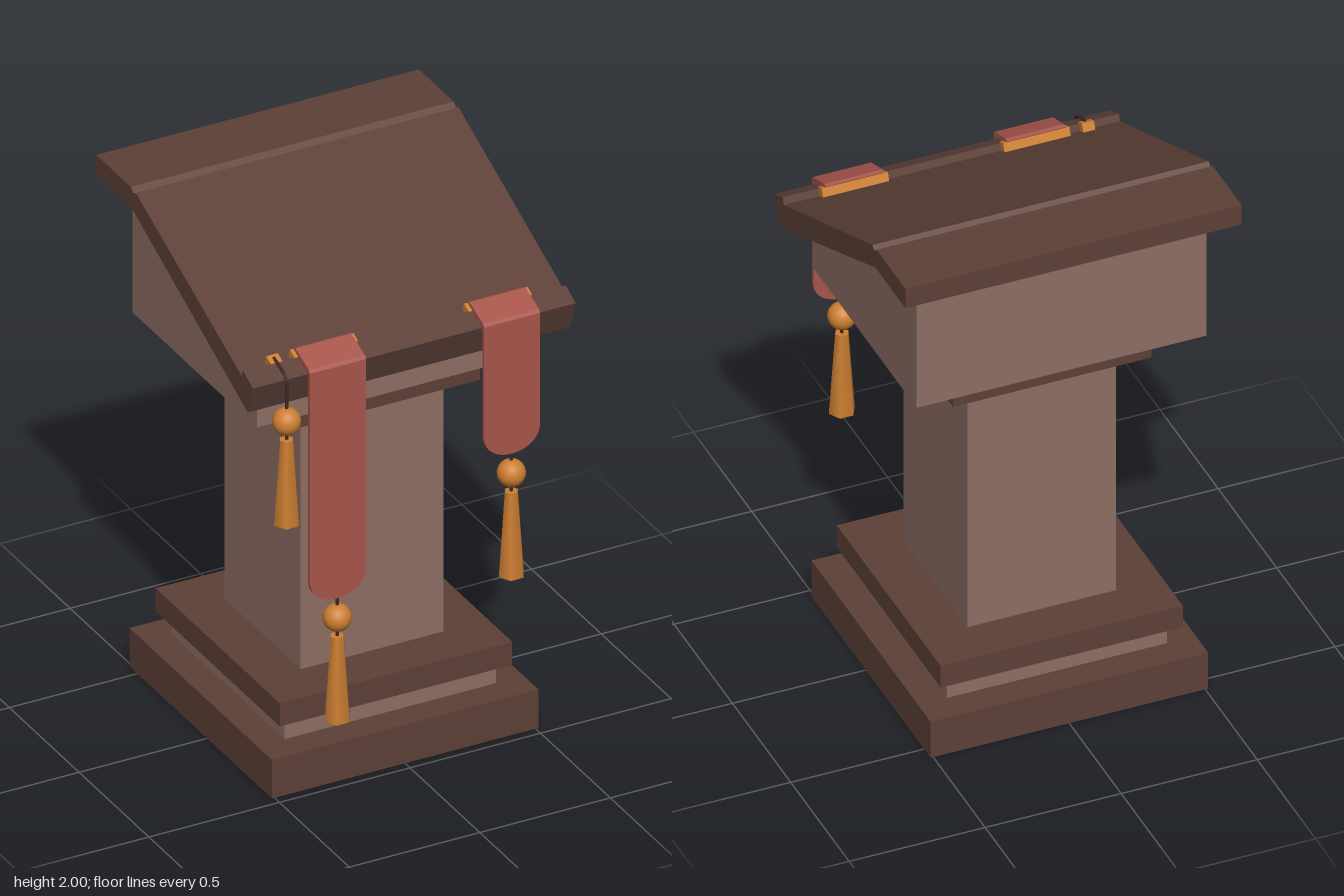
import * as THREE from 'three';

const paint = (color, extra = {}) => new THREE.MeshStandardMaterial({ color, ...extra });
const SLOPE = 0.412;   // tilt of the reading board
const HANG_Z = 0.545;  // plane in which ribbons and tassels hang

export function createModel() {
  const lightWood = paint(0x8d6e63), darkWood = paint(0x5d4037);
  const cloth = paint(0xa8554b), gold = paint(0xcd7f32), cord = paint(0x3e2723);
  const model = new THREE.Group();
  model.name = 'lectern';

  const add = (parent, name, geometry, material, x = 0, y = 0, z = 0) => {
    const mesh = new THREE.Mesh(geometry, material);
    mesh.name = name;
    mesh.position.set(x, y, z);
    parent.add(mesh);
    return mesh;
  };

  // Extrudes a side profile of [z, y] points across the width, centred on x = 0
  const acrossWidth = (points, width) => {
    const shape = new THREE.Shape(points.map(([z, y]) => new THREE.Vector2(z, y)));
    return new THREE.ExtrudeGeometry(shape, { depth: width, bevelEnabled: false })
      .translate(0, 0, -width / 2).rotateY(-Math.PI / 2);
  };

  // Square stacked pedestal: name, width, bottom, top, material
  const tiers = [
    ['basePlinth', 1.02, 0, 0.15, darkWood],
    ['baseStep', 0.81, 0.15, 0.23, lightWood],
    ['baseMoulding', 0.89, 0.23, 0.32, darkWood],
    ['column', 0.546, 0.32, 1.32, lightWood],
    ['capital', 0.73, 1.32, 1.416, darkWood],
  ];
  for (const [name, w, y0, y1, material] of tiers) {
    add(model, name, new THREE.BoxGeometry(w, y1 - y0, w), material, 0, (y0 + y1) / 2, -0.045);
  }

  // Wedge-shaped desk body
  add(model, 'deskBody', acrossWidth(
    [[0.4, 1.416], [0.4, 1.588], [-0.34, 1.918], [-0.49, 1.922], [-0.49, 1.416]], 1.066), lightWood);

  // Flat rear shelf, sloping board and raised front lip
  add(model, 'readingBoard', acrossWidth([
    [-0.592, 1.92], [-0.592, 2], [-0.344, 2], [-0.324, 1.984], [-0.308, 1.996],
    [0.45, 1.665], [0.46, 1.69], [0.532, 1.657], [0.494, 1.545], [-0.335, 1.92],
  ], 1.236), darkWood);

  // Gold clip lying on the board behind the lip
  const addClip = (parent, x, width) => {
    const clip = add(parent, 'clip', new THREE.BoxGeometry(width, 0.055, 0.036), gold, x, 1.674, 0.44);
    clip.rotation.x = SLOPE;
  };

  // Cord, bead and flared six-sided skirt; y is the bead centre
  const addTassel = (parent, x, y, z, cordTop) => {
    const bottom = y - 0.08;
    add(parent, 'tasselCord', new THREE.CylinderGeometry(0.006, 0.006, cordTop - bottom, 8),
      cord, x, (cordTop + bottom) / 2, z);
    add(parent, 'tasselBead', new THREE.SphereGeometry(0.05, 20, 14), gold, x, y, z);
    add(parent, 'tasselSkirt', new THREE.CylinderGeometry(0.025, 0.048, 0.325, 6).rotateY(Math.PI / 2),
      gold, x, y - 0.2325, z);
  };

  // Ribbon folded over the lip, with a round end and a tassel
  const addRibbon = (name, x, bottom) => {
    const group = new THREE.Group();
    group.name = name;
    model.add(group);
    const r = 0.1075, top = 1.65;
    const shape = new THREE.Shape();
    shape.moveTo(-r, top);
    shape.lineTo(-r, bottom + 0.09);
    shape.bezierCurveTo(-r, bottom + 0.035, -0.06, bottom, 0, bottom);
    shape.bezierCurveTo(0.06, bottom, r, bottom + 0.035, r, bottom + 0.09);
    shape.lineTo(r, top);
    add(group, 'ribbonDrop', new THREE.ExtrudeGeometry(shape, { depth: 0.013, bevelEnabled: false }),
      cloth, x, 0, HANG_Z - 0.007);
    add(group, 'ribbonFold', acrossWidth([
      [0.551, 1.65], [0.551, 1.668], [0.543, 1.679], [0.446, 1.714], [0.434, 1.71],
      [0.437, 1.698], [0.532, 1.662], [0.538, 1.65],
    ], 2 * r), cloth, x);
    addClip(group, x, 0.243);
    addTassel(group, x, bottom - 0.077, HANG_Z, bottom + 0.01);
  };
  addRibbon('longRibbon', -0.303, 0.767);
  addRibbon('shortRibbon', 0.364, 1.15);

  // Single tassel hung over the lip on a cord
  const hanging = new THREE.Group();
  hanging.name = 'hangingTassel';
  model.add(hanging);
  addClip(hanging, -0.493, 0.044);
  const path = new THREE.CatmullRomCurve3([[1.7, 0.445], [1.675, 0.52], [1.655, 0.537], [1.62, 0.538]]
    .map(([y, z]) => new THREE.Vector3(-0.493, y, z)));
  add(hanging, 'lipCord', new THREE.TubeGeometry(path, 16, 0.006, 8), cord);
  addTassel(hanging, -0.493, 1.5, 0.538, 1.63);

  return model;
}
